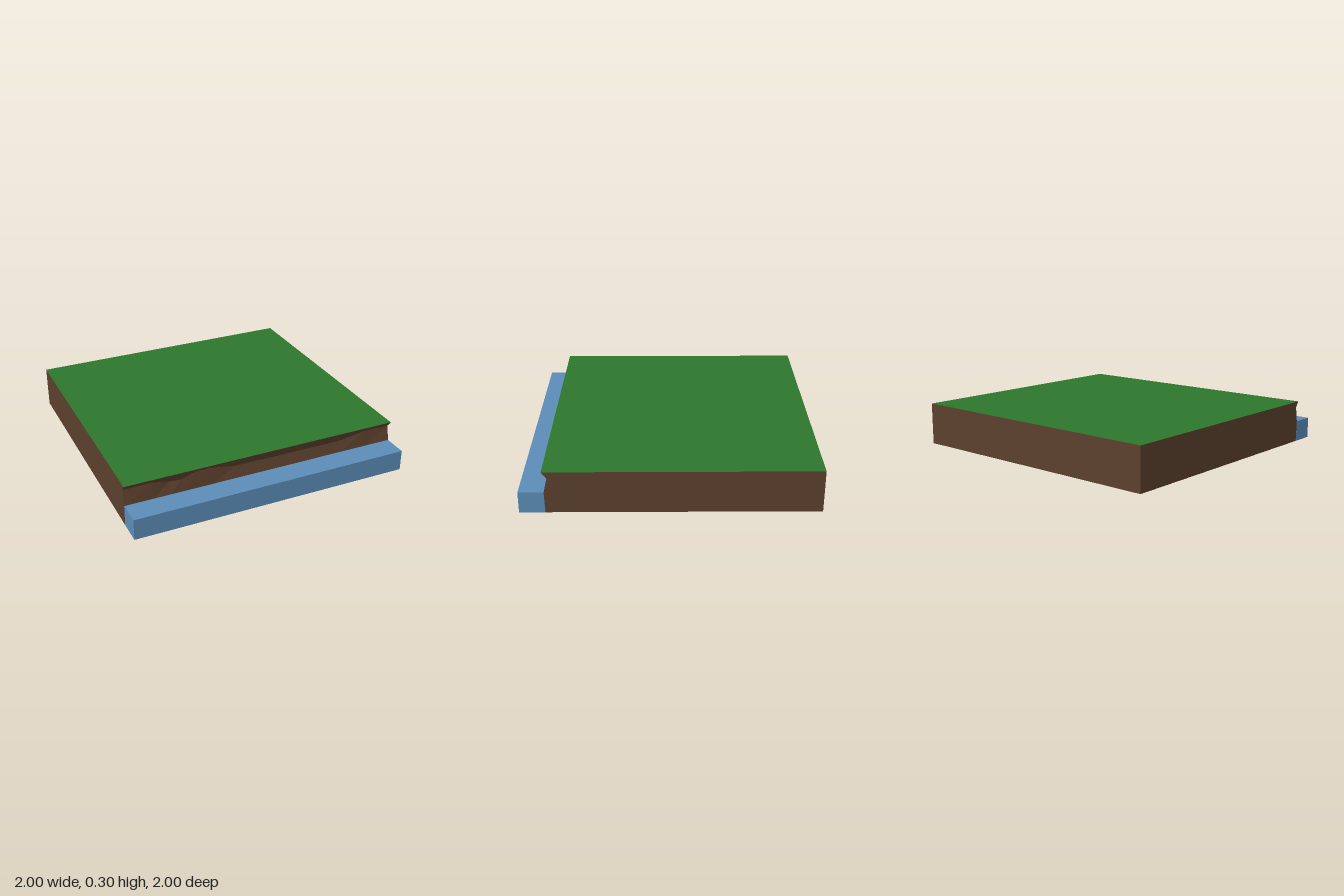
import * as THREE from 'three';

const LIP = 0.84, TOP = 0.3, BACK = -1;

// Undercut crease along the bank: x, height, depth
const crease = [
  [-1, 0.26, 0.81], [-0.8, 0.265, 0.815], [-0.68, 0.235, 0.805], [-0.6, 0.235, 0.815],
  [-0.5, 0.27, 0.815], [-0.4, 0.27, 0.815], [-0.2, 0.235, 0.81], [0.6, 0.23, 0.81],
  [0.8, 0.265, 0.815], [1, 0.255, 0.805],
];

// Cross-section of the earth at one station, from back bottom round the front to back top
function section([x, y, z]) {
  return [[BACK, 0], [0.825, 0], [0.83, 0.15], [z, y], [LIP, TOP], [BACK, TOP]]
    .map(([pz, py]) => new THREE.Vector3(x, py, pz));
}

function earthGeometry() {
  const rings = crease.map(section);
  const pts = [];
  const n = rings[0].length;
  for (let i = 0; i < rings.length - 1; i++) {
    const a = rings[i], b = rings[i + 1];
    for (let j = 0; j < n; j++) {
      if (j === 4) continue; // the grass closes the top
      const k = (j + 1) % n;
      pts.push(a[j], b[j], b[k], a[j], b[k], a[k]);
    }
  }
  // End caps
  const left = rings[0], right = rings[rings.length - 1];
  for (let j = 1; j < n - 1; j++) {
    pts.push(left[0], left[j], left[j + 1]);
    pts.push(right[0], right[j + 1], right[j]);
  }
  const geo = new THREE.BufferGeometry().setFromPoints(pts);
  geo.computeVertexNormals();
  return geo;
}

export function createModel() {
  const group = new THREE.Group();
  group.name = 'riverBank';
  const material = (name, color) => {
    const m = new THREE.MeshStandardMaterial({ color });
    m.name = name;
    return m;
  };
  const add = (name, geo, mat) => {
    const mesh = new THREE.Mesh(geo, mat);
    mesh.name = name;
    group.add(mesh);
  };

  // Earth block with an undercut front
  add('earthBank', earthGeometry(), material('earth', 0x5c402d));

  // Flat grass surface
  const grass = new THREE.PlaneGeometry(2, LIP - BACK).rotateX(-Math.PI / 2);
  grass.translate(0, TOP, (LIP + BACK) / 2);
  add('grass', grass, material('grass', 0x2d772c));

  // Water strip in front of the bank
  const water = new THREE.BoxGeometry(2, 0.15, 0.172);
  water.translate(0, 0.075, 0.914);
  add('water', water, material('water', 0x5b8db8));

  return group;
}
